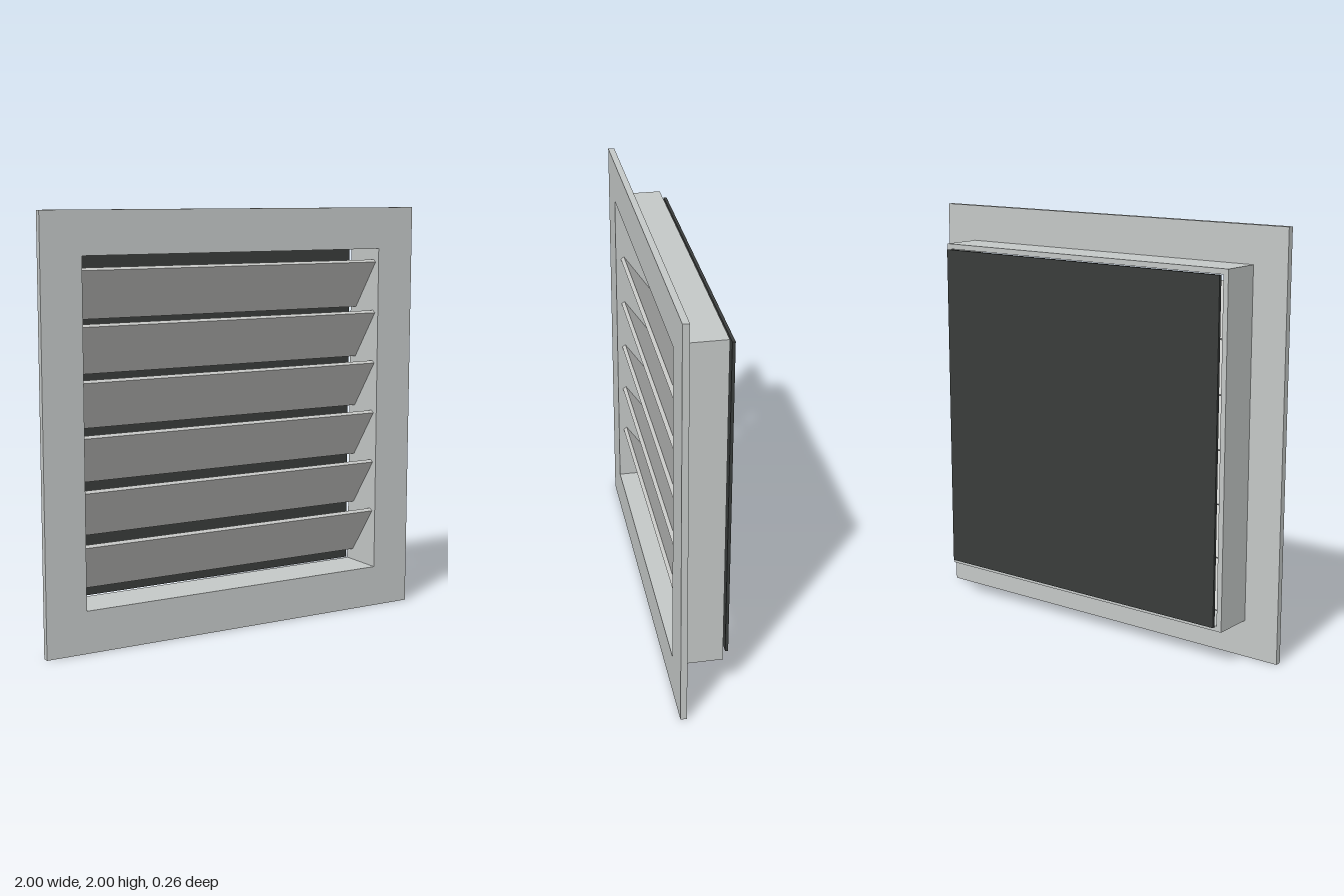
import * as THREE from 'three';

const frameMetal = new THREE.MeshStandardMaterial({ name: 'frameMetal', color: 0xc4c8c7 });
const slatMetal = new THREE.MeshStandardMaterial({ name: 'slatMetal', color: 0xc6c7c5 });
const darkScreen = new THREE.MeshStandardMaterial({ name: 'darkScreen', color: 0x393c3b });

const OPENING = 1.6;

// Square ring of the given outer size around the opening, from zBack forwards
function squareRing(name, outer, zBack, depth) {
  const square = (target, s) => target
    .moveTo(-s, -s).lineTo(s, -s).lineTo(s, s).lineTo(-s, s).closePath();
  const shape = square(new THREE.Shape(), outer / 2);
  shape.holes.push(square(new THREE.Path(), OPENING / 2));
  const geometry = new THREE.ExtrudeGeometry(shape, { depth, bevelEnabled: false });
  const mesh = new THREE.Mesh(geometry, frameMetal);
  mesh.name = name;
  mesh.position.set(0, 1, zBack);
  return mesh;
}

export function createModel() {
  const vent = new THREE.Group();
  vent.name = 'louvredVent';

  // Wall flange and the duct collar behind it
  vent.add(squareRing('flange', 2, 0.1, 0.03));
  vent.add(squareRing('ductCollar', 1.65, -0.1, 0.2));

  // Six slats, top edges leaning forward
  const slats = new THREE.Group();
  slats.name = 'slats';
  const slatGeometry = new THREE.BoxGeometry(OPENING, 0.28, 0.02);
  for (let i = 0; i < 6; i++) {
    const slat = new THREE.Mesh(slatGeometry, slatMetal);
    slat.name = `slat${i + 1}`;
    slat.position.set(0, 0.375 + i * 0.25, 0.017);
    slat.rotation.x = 0.61;
    slats.add(slat);
  }
  vent.add(slats);

  // Dark screen floating just behind the collar
  const screen = new THREE.Mesh(new THREE.BoxGeometry(OPENING, OPENING, 0.014), darkScreen);
  screen.name = 'backScreen';
  screen.position.set(0, 1, -0.123);
  vent.add(screen);

  return vent;
}
